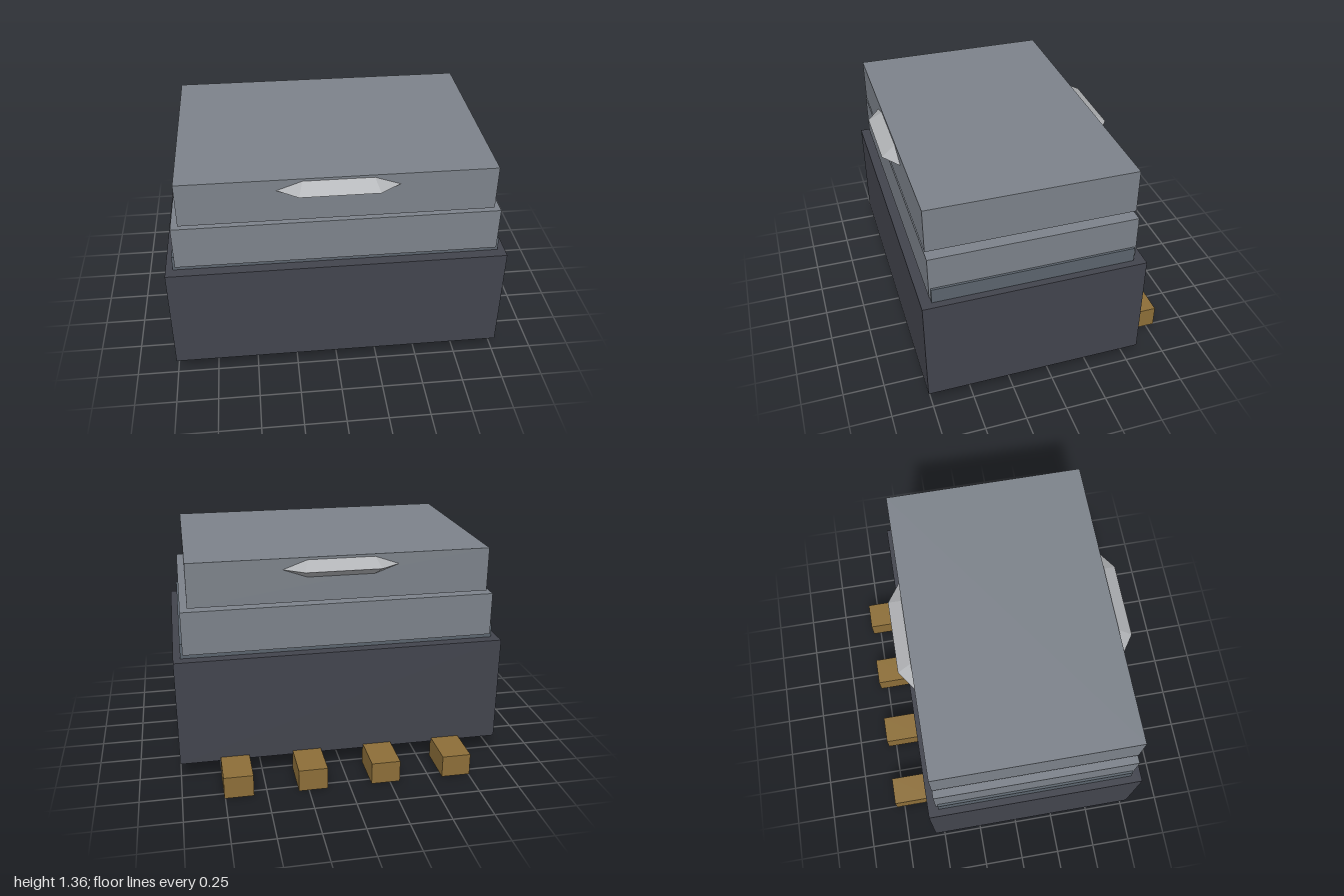
import * as THREE from 'three';
import { ConvexGeometry } from 'three/addons/geometries/ConvexGeometry.js';

const material = (color) => new THREE.MeshStandardMaterial({ color, flatShading: true });

// Box given by its extents along each axis
function block(name, [x0, x1], [y0, y1], [z0, z1], mat) {
  const mesh = new THREE.Mesh(new THREE.BoxGeometry(x1 - x0, y1 - y0, z1 - z0), mat);
  mesh.position.set((x0 + x1) / 2, (y0 + y1) / 2, (z0 + z1) / 2);
  mesh.name = name;
  return mesh;
}

// Faceted latch: hexagonal base tapering to a horizontal ridge, pointing along +z
function latchGeometry(depth) {
  const points = [];
  for (const s of [-1, 1]) {
    points.push(
      new THREE.Vector3(s * 0.345, 0, 0),
      new THREE.Vector3(s * 0.2, 0.052, 0),
      new THREE.Vector3(s * 0.2, -0.052, 0),
      new THREE.Vector3(s * 0.225, 0, depth)
    );
  }
  return new ConvexGeometry(points);
}

export function createModel() {
  const group = new THREE.Group();
  const dark = material(0x42444d);
  const slate = material(0x5b646d);
  const grey = material(0x7c828a);
  const silver = material(0xb0b2b5);
  const brass = material(0x8c6e38);

  // Main housing with the stepped upper tiers
  group.add(
    block('body', [-1, 1], [0.115, 0.78], [-0.557, 0.773], dark),
    block('rim', [-0.957, 0.957], [0.76, 0.87], [-0.492, 0.71], slate),
    block('middleTier', [-0.943, 0.943], [0.805, 1.07], [-0.505, 0.72], grey),
    block('lid', [-0.9, 0.9], [1.093, 1.36], [-0.505, 0.72], grey)
  );

  // Latches on the front and back of the lid
  const latch = latchGeometry(0.083);
  for (const [name, z, turn] of [['frontLatch', 0.72, 0], ['backLatch', -0.505, Math.PI]]) {
    const mesh = new THREE.Mesh(latch, silver);
    mesh.name = name;
    mesh.position.set(0, 1.293, z);
    mesh.rotation.y = turn;
    group.add(mesh);
  }

  // Row of four contact pins along the lower back edge
  for (const x of [-0.668, -0.223, 0.223, 0.668]) {
    group.add(block('contactPin', [x - 0.088, x + 0.088], [0, 0.137], [-0.803, -0.54], brass));
  }
  return group;
}
